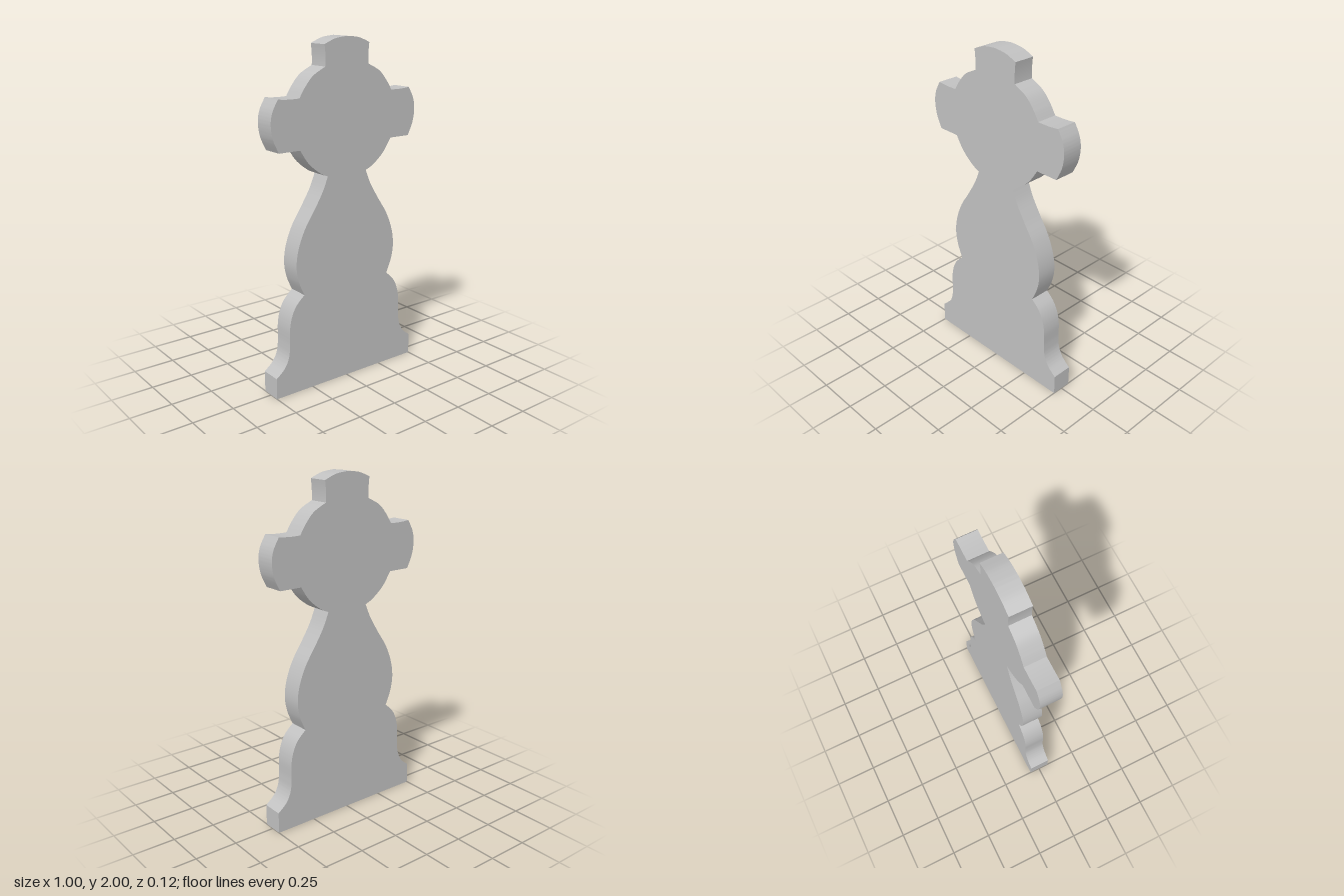
import * as THREE from 'three';
import { toCreasedNormals } from 'three/addons/utils/BufferGeometryUtils.js';

const DEPTH = 0.125;

// Right half of the outline, from the foot up to the crown.
function halfOutline() {
  const path = new THREE.Path();
  const spline = (...pts) => path.splineThru(pts.map(([x, y]) => new THREE.Vector2(x, y)));

  // Foot and flared base
  path.moveTo(0.5, 0);
  path.lineTo(0.5, 0.125);
  spline([0.445, 0.172], [0.415, 0.23], [0.406, 0.3], [0.404, 0.4], [0.388, 0.475], [0.356, 0.535], [0.303, 0.585]);

  // Swelling body narrowing to the neck
  spline([0.338, 0.668], [0.353, 0.76], [0.338, 0.86], [0.295, 0.965], [0.23, 1.065], [0.172, 1.16], [0.135, 1.245]);

  // Round head, lower arc
  spline([0.19, 1.272], [0.263, 1.333], [0.318, 1.412]);

  // Side arm with a rounded end
  path.lineTo(0.453, 1.412);
  spline([0.488, 1.487], [0.5, 1.565], [0.488, 1.631], [0.453, 1.695]);
  path.quadraticCurveTo(0.39, 1.686, 0.318, 1.69);

  // Round head, upper arc
  spline([0.282, 1.745], [0.228, 1.803], [0.148, 1.845]);

  // Crown with a domed top
  path.quadraticCurveTo(0.144, 1.9, 0.153, 1.962);
  spline([0.08, 1.99], [0, 2]);

  return path.getPoints(8);
}

export function createModel() {
  const grey = new THREE.MeshStandardMaterial({ color: 0xc0c0c0 });
  grey.name = 'light grey';

  // Mirror the half outline to close the silhouette
  const right = halfOutline();
  const left = right.slice(0, -1).reverse().map((p) => new THREE.Vector2(-p.x, p.y));
  const shape = new THREE.Shape([...right, ...left]);

  const slab = new THREE.ExtrudeGeometry(shape, { depth: DEPTH, bevelEnabled: false });
  slab.translate(0, 0, -DEPTH / 2);

  const piece = new THREE.Mesh(toCreasedNormals(slab, 0.4), grey);
  piece.name = 'flatChessPiece';

  const group = new THREE.Group();
  group.name = 'chessPieceCutout';
  group.add(piece);
  return group;
}
